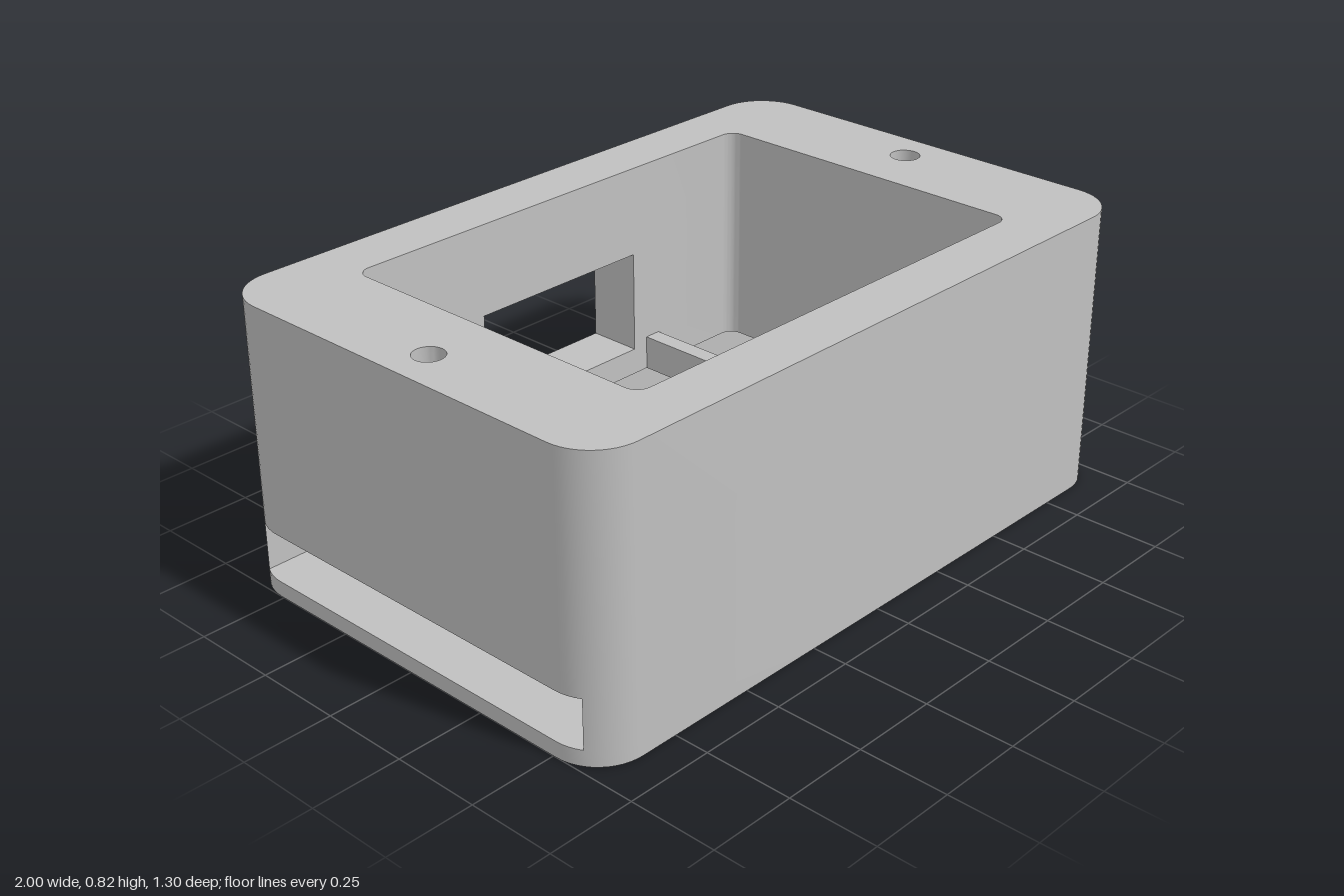
import * as THREE from 'three';
import { toCreasedNormals } from 'three/addons/utils/BufferGeometryUtils.js';

const N = 12; // segments per rounded corner
const WINDOW = 0.285; // half width of the back window
const Y = { floor: 0.045, slotTop: 0.185, sill: 0.263, head: 0.56, top: 0.82 };

// Rounded rectangle in x/z, with two extra points on the back edge for the window
function outline(hx, hz, r) {
  const pts = [];
  for (let k = 0; k < 4; k++) {
    const cx = (k === 0 || k === 3 ? 1 : -1) * (hx - r);
    const cz = (k < 2 ? 1 : -1) * (hz - r);
    if (k === 3) pts.push(new THREE.Vector2(-WINDOW, -hz), new THREE.Vector2(WINDOW, -hz));
    for (let i = 0; i <= N; i++) {
      const a = (k + i / N) * Math.PI / 2;
      pts.push(new THREE.Vector2(cx + r * Math.cos(a), cz + r * Math.sin(a)));
    }
  }
  return pts;
}

function circle(x, z, r, n = 32) {
  return Array.from({ length: n }, (_, i) => {
    const a = i / n * Math.PI * 2;
    return new THREE.Vector2(x + r * Math.cos(a), z + r * Math.sin(a));
  });
}

const reversed = (pts) => [...pts].reverse();

export function createModel() {
  const group = new THREE.Group();
  const grey = new THREE.MeshStandardMaterial({ color: 0xc0c0c0 });
  grey.name = 'light grey';

  const pos = [];
  // Upright wall along a closed contour; a reversed contour faces inward
  const wall = (pts, y0, y1) => pts.forEach((a, i) => {
    const b = pts[(i + 1) % pts.length];
    pos.push(a.x, y0, a.y, a.x, y1, a.y, b.x, y1, b.y);
    pos.push(a.x, y0, a.y, b.x, y1, b.y, b.x, y0, b.y);
  });
  // Level face, turned up or down
  const level = (contour, holes, y, up) => {
    const all = [contour, ...holes].flat();
    for (const [i, j, k] of THREE.ShapeUtils.triangulateShape(contour, holes)) {
      const [a, b, c] = [all[i], all[j], all[k]];
      const facesDown = (b.x - a.x) * (c.y - a.y) - (b.y - a.y) * (c.x - a.x) > 0;
      const order = facesDown === up ? [a, c, b] : [a, b, c];
      for (const p of order) pos.push(p.x, y, p.y);
    }
  };

  const outer = outline(1, 0.65, 0.14);
  const pocket = outline(0.7, 0.49, 0.04);
  const screws = [-1, 1].map((s) => circle(s * 0.887, 0, 0.042));

  // Indices where the side slot meets the corners, and the window edges
  const f0 = 4, f1 = N + 9, b0 = 2 * N + 6, b1 = 3 * N + 13;
  const w0 = 3 * N + 3, w1 = w0 + 1;

  // Floor slab
  level(outer, [], 0, false);
  wall(outer, 0, Y.floor);

  // Slot running through from side to side, between front and back walls
  const slot = [...outer.slice(0, f0 + 1), ...outer.slice(f1, b0 + 1), ...outer.slice(b1)];
  level(slot, [], Y.floor, true);
  wall(outer.slice(f0, f1 + 1), Y.floor, Y.slotTop);
  wall(outer.slice(b0, b1 + 1), Y.floor, Y.slotTop);
  level(slot, [pocket], Y.slotTop, false);

  // Body below and above the window
  for (const [y0, y1] of [[Y.slotTop, Y.sill], [Y.head, Y.top]]) {
    wall(outer, y0, y1);
    wall(reversed(pocket), y0, y1);
  }

  // Body beside the window, with its jambs, sill and head
  const around = (pts) => [...pts.slice(w1), ...pts.slice(0, w1)];
  wall([...around(outer), ...reversed(around(pocket))], Y.sill, Y.head);
  const opening = [outer[w0], outer[w1], pocket[w1], pocket[w0]];
  level(opening, [], Y.sill, true);
  level(opening, [], Y.head, false);

  // Rim with blind screw holes
  level(outer, [pocket, ...screws], Y.top, true);
  for (const hole of screws) {
    wall(reversed(hole), 0.42, Y.top);
    level(hole, [], 0.42, true);
  }

  const geometry = new THREE.BufferGeometry();
  geometry.setAttribute('position', new THREE.Float32BufferAttribute(pos, 3));
  const body = new THREE.Mesh(toCreasedNormals(geometry, 0.45), grey);
  body.name = 'enclosure';
  group.add(body);

  // Cross bars spanning the pocket above the slot
  for (const s of [-1, 1]) {
    const bar = new THREE.Mesh(new THREE.BoxGeometry(0.05, 0.1, 0.98), grey);
    bar.position.set(s * 0.36, Y.slotTop + 0.05, 0);
    bar.name = s > 0 ? 'leftCrossBar' : 'rightCrossBar';
    group.add(bar);
  }
  return group;
}
